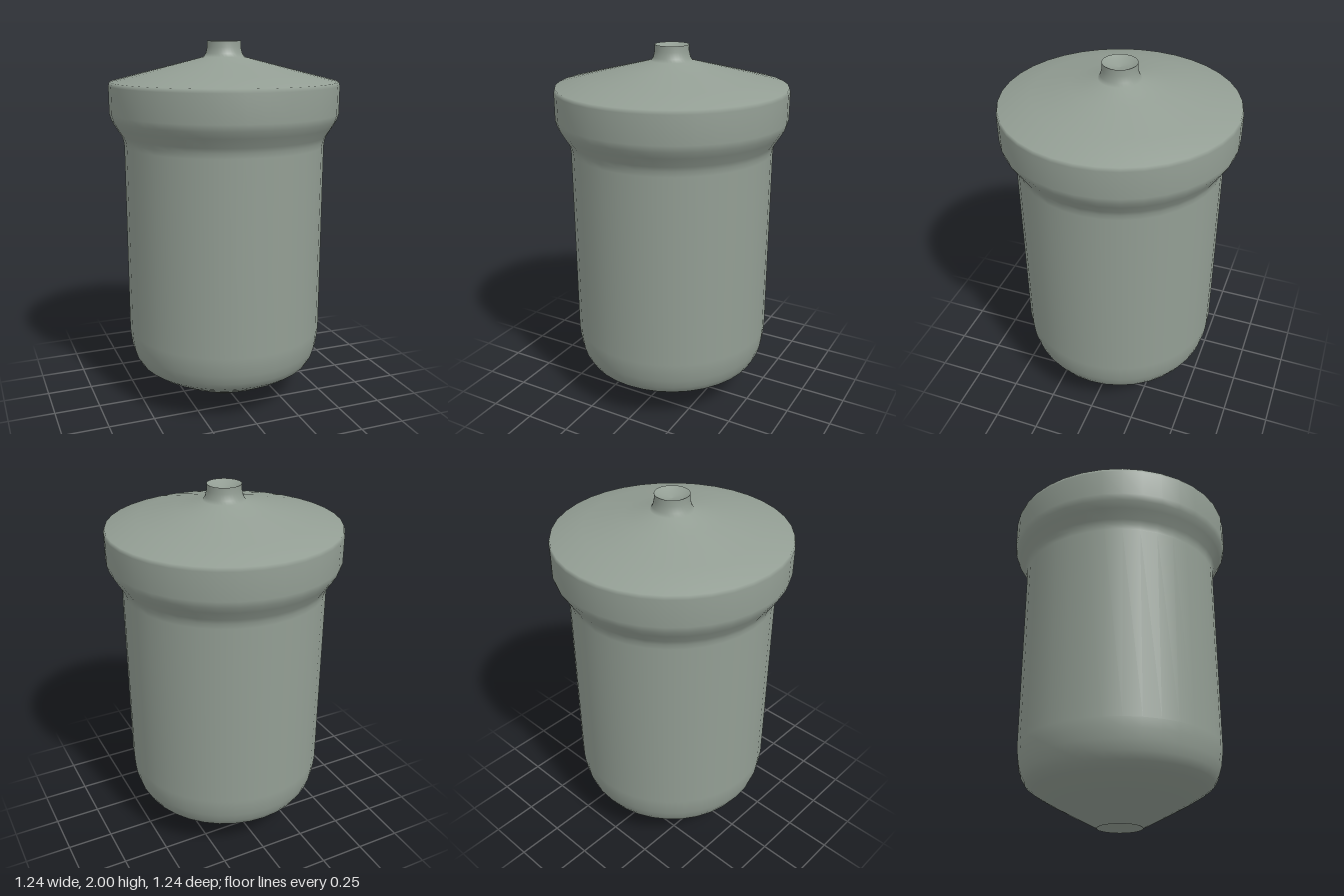
import * as THREE from 'three';

export function createModel() {
  const group = new THREE.Group();
  const greyGreen = new THREE.MeshStandardMaterial({ color: 0x939e94 });
  greyGreen.name = 'greyGreen';

  // Every part is a smooth solid of revolution, profiled from bottom to top
  const turn = (name, profile) => {
    const points = profile.map(([r, y]) => new THREE.Vector2(r, y));
    const mesh = new THREE.Mesh(new THREE.LatheGeometry(points, 36), greyGreen);
    mesh.name = name;
    group.add(mesh);
  };

  // Outer shell: funnel base, straight body, wide collar, sloped lid and neck
  turn('shell', [
    [0.12, 0], [0.125, 0.006], [0.25, 0.07], [0.38, 0.14], [0.455, 0.185],
    [0.495, 0.215], [0.518, 0.255], [0.533, 0.305], [0.541, 0.36], [0.545, 0.41],
    [0.545, 1.45], [0.549, 1.48], [0.558, 1.505], [0.59, 1.555], [0.61, 1.59],
    [0.62, 1.625], [0.62, 1.77], [0.614, 1.79], [0.45, 1.832], [0.25, 1.882],
    [0.11, 1.917], [0.098, 1.935], [0.09, 1.968], [0.09, 2],
  ]);

  // Shallow recesses closing the outlet and the neck
  turn('outletRecess', [[0, 0.03], [0.06, 0.023], [0.12, 0]]);
  turn('neckRecess', [[0.09, 2], [0.05, 1.98], [0, 1.972]]);

  return group;
}
